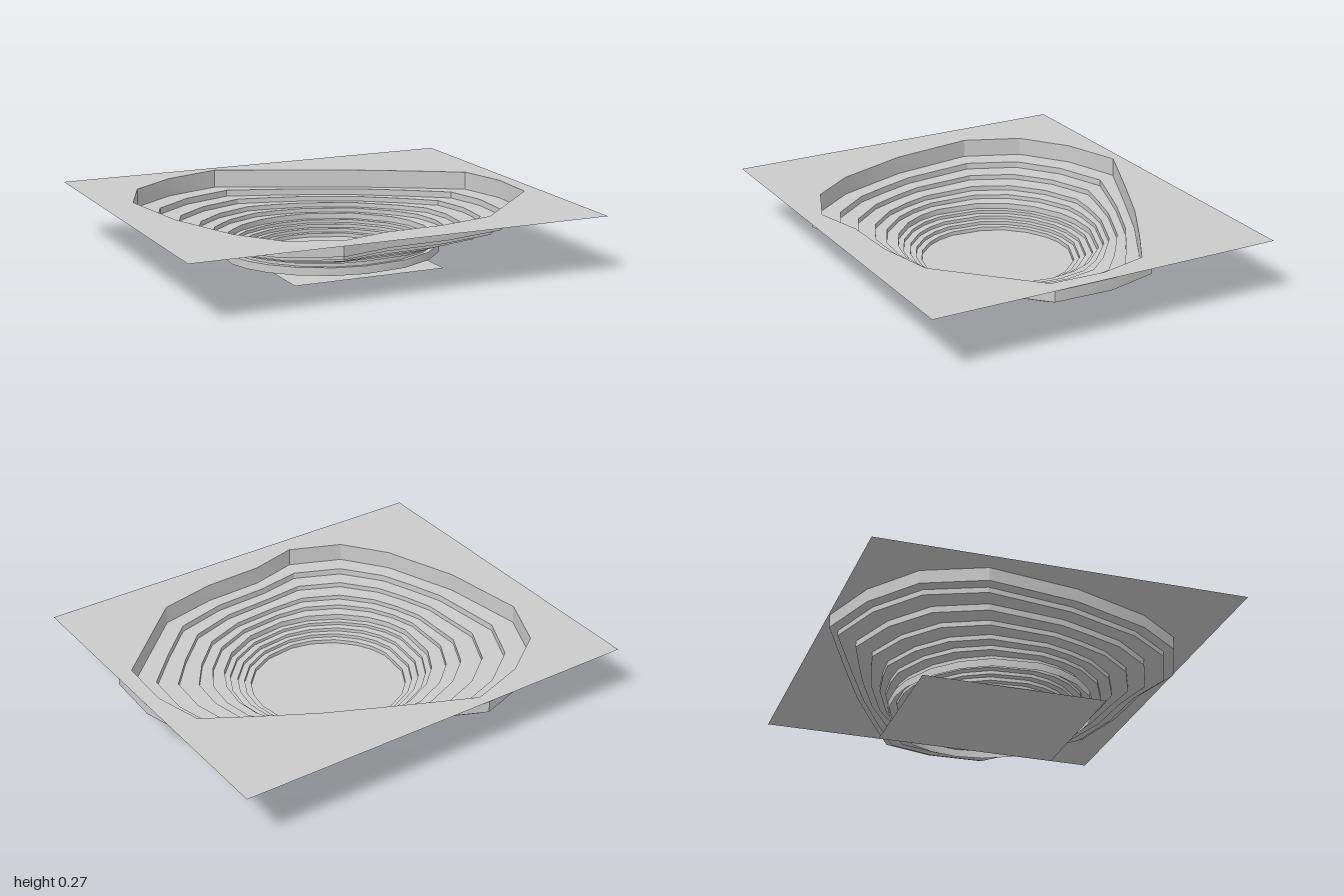
import * as THREE from 'three';
import { toCreasedNormals } from 'three/addons/utils/BufferGeometryUtils.js';

// Plan outline of the pit edge as [x, z] corners
const EDGE = [
  [-0.24, -0.8], [-0.06, -0.72], [0.13, -0.635], [0.4, -0.51], [0.66, -0.365],
  [0.87, -0.24], [0.93, -0.01], [0.92, 0.25], [0.72, 0.44], [0.52, 0.63],
  [0.25, 0.69], [-0.03, 0.7], [-0.26, 0.76], [-0.5, 0.66], [-0.65, 0.46],
  [-0.715, 0.285], [-0.78, 0.11], [-0.84, -0.29], [-0.73, -0.55], [-0.51, -0.71],
];
const CX = 0.023;
const GROUND_Y = 0.273;

// Ellipse with its corners in the same directions as the edge corners
const oval = (rx, rz) => EDGE.map(([x, z]) => {
  const a = Math.atan2(z, x - CX);
  return [CX + rx * Math.cos(a), rz * Math.sin(a)];
});

// Outline between the round lower pit (0) and the irregular edge (1)
const INNER = oval(0.495, 0.46);
const blend = (t) => EDGE.map(([x, z], i) => [
  THREE.MathUtils.lerp(INNER[i][0], x, t),
  THREE.MathUtils.lerp(INNER[i][1], z, t),
]);

const material = new THREE.MeshStandardMaterial({ color: 0xcccccc, side: THREE.DoubleSide });

// Closed strip joining two outlines at two heights
function strip(name, lower, y0, upper, y1) {
  const n = lower.length;
  const pos = [];
  const index = [];
  for (let i = 0; i < n; i++) {
    pos.push(lower[i][0], y0, lower[i][1], upper[i][0], y1, upper[i][1]);
    const a = 2 * i;
    const b = 2 * ((i + 1) % n);
    index.push(a, a + 1, b, b, a + 1, b + 1);
  }
  const g = new THREE.BufferGeometry();
  g.setAttribute('position', new THREE.Float32BufferAttribute(pos, 3));
  g.setIndex(index);
  const mesh = new THREE.Mesh(toCreasedNormals(g, 0.5), material);
  mesh.name = name;
  return mesh;
}

export function createModel() {
  const model = new THREE.Group();
  model.name = 'openPit';

  // Flat surrounding ground with the pit cut out
  const shape = new THREE.Shape([
    [-1, -0.85], [1, -0.85], [1, 0.85], [-1, 0.85],
  ].map(([x, z]) => new THREE.Vector2(x, -z)));
  shape.holes.push(new THREE.Path(EDGE.map(([x, z]) => new THREE.Vector2(x, -z))));
  const ground = new THREE.Mesh(new THREE.ShapeGeometry(shape).rotateX(-Math.PI / 2), material);
  ground.position.y = GROUND_Y;
  ground.name = 'ground';
  model.add(ground);

  // Rectangular pit floor
  const floor = new THREE.Mesh(new THREE.PlaneGeometry(0.74, 0.87).rotateX(-Math.PI / 2), material);
  floor.position.x = CX;
  floor.name = 'pitFloor';
  model.add(floor);

  // Terraces from the floor up: outline and height of each wall top
  const terraces = [
    [oval(0.365, 0.355), 0.018],
    [oval(0.397, 0.38), 0.034],
    [oval(0.43, 0.405), 0.05],
    [oval(0.467, 0.435), 0.065],
    [blend(0), 0.092],
    [blend(0.15), 0.112],
    [blend(0.3), 0.134],
    [blend(0.52), 0.157],
    [blend(0.75), 0.187],
    [EDGE, GROUND_Y],
  ];
  let y = 0;
  terraces.forEach(([outline, top], i) => {
    model.add(strip(`wall${i + 1}`, outline, y, outline, top));
    const next = terraces[i + 1];
    if (next) model.add(strip(`bench${i + 1}`, outline, top, next[0], top));
    y = top;
  });

  // Outer band under the ground, closed below by a ledge
  const rim = EDGE.map(([x, z]) => [0.04 + (x - 0.04) * 1.068, z * 1.055]);
  model.add(strip('rimWall', rim, 0.212, rim, GROUND_Y));
  model.add(strip('rimLedge', EDGE, 0.212, rim, 0.212));

  // Wider band hanging below the lower bench
  const skirt = oval(0.525, 0.475);
  model.add(strip('skirtWall', skirt, 0.028, skirt, 0.065));
  model.add(strip('skirtLedge', blend(0), 0.065, skirt, 0.065));

  return model;
}
